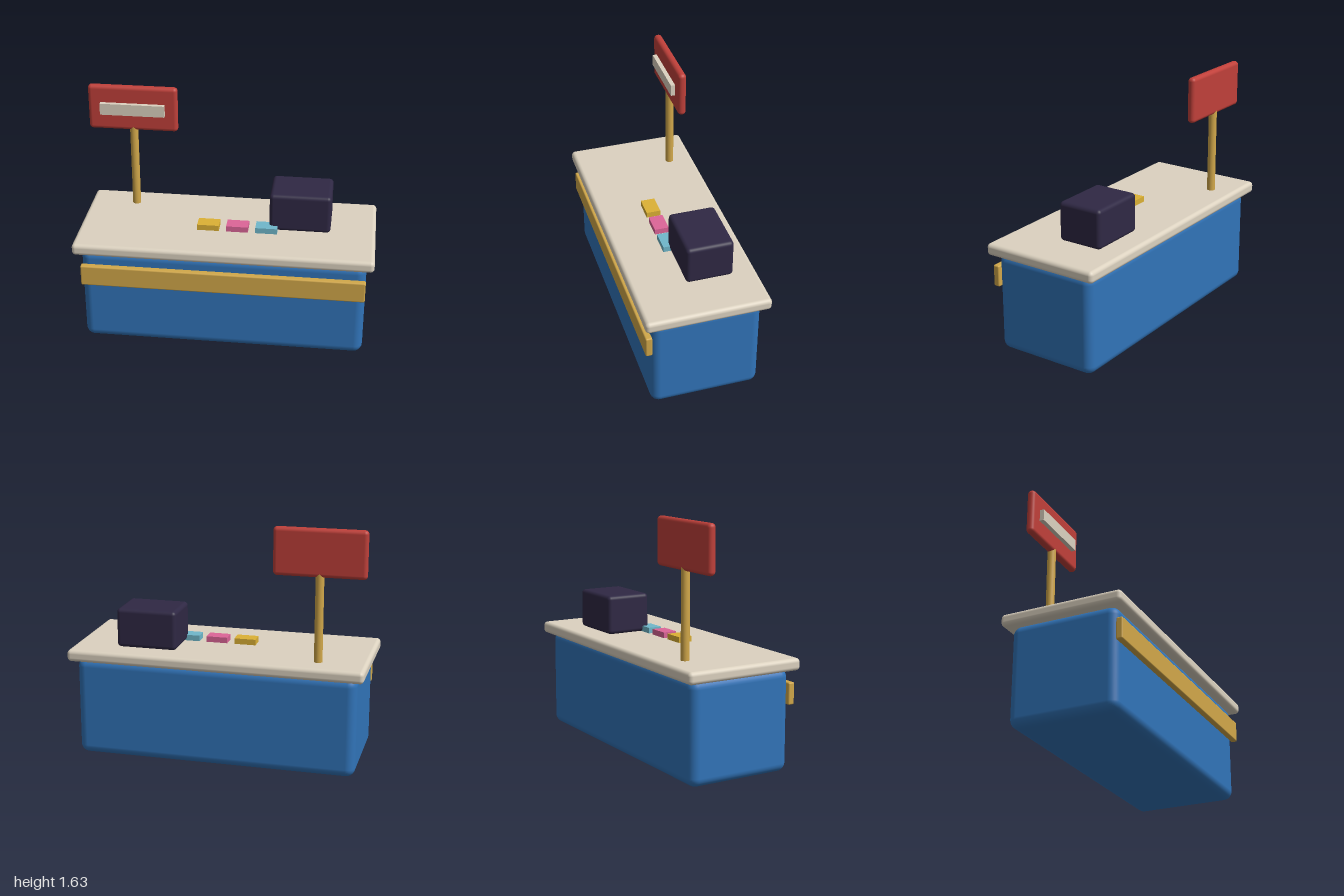
import * as THREE from 'three';
import { RoundedBoxGeometry } from 'three/addons/geometries/RoundedBoxGeometry.js';

const paint = (color) => new THREE.MeshStandardMaterial({ color });

export function createModel() {
  const model = new THREE.Group();
  const cream = paint(0xdcd2c0), gold = paint(0xd2a84a);

  const add = (name, geometry, material, x, y, z) => {
    const mesh = new THREE.Mesh(geometry, material);
    mesh.name = name;
    mesh.position.set(x, y, z);
    model.add(mesh);
  };
  // Box given by its min and max corners, with an optional edge radius
  const box = (name, material, [x0, y0, z0], [x1, y1, z1], radius = 0) => {
    const size = [x1 - x0, y1 - y0, z1 - z0];
    const geometry = radius
      ? new RoundedBoxGeometry(...size, 4, radius)
      : new THREE.BoxGeometry(...size);
    add(name, geometry, material, (x0 + x1) / 2, (y0 + y1) / 2, (z0 + z1) / 2);
  };

  // Counter: body, worktop and front trim
  box('counterBody', paint(0x3174b9), [-0.95, 0, -0.366], [0.95, 0.68, 0.366], 0.06);
  box('counterTop', cream, [-1, 0.667, -0.415], [1, 0.748, 0.415], 0.027);
  box('frontTrim', gold, [-0.95, 0.438, 0.36], [0.95, 0.584, 0.405], 0.01);

  // Till standing on the worktop
  box('till', paint(0x2f2844), [0.283, 0.748, -0.257], [0.696, 1.015, 0.06], 0.027);

  // Row of small goods
  [0xdcb135, 0xdd6598, 0x70b8cb].forEach((color, i) => {
    const x = -0.2 + i * 0.197;
    box('goods' + (i + 1), paint(color), [x, 0.742, 0.01], [x + 0.147, 0.787, 0.107]);
  });

  // Sign on a post
  add('signPost', new THREE.CylinderGeometry(0.028, 0.028, 0.6, 24), gold, -0.678, 1.04, -0.245);
  box('signBoard', paint(0xc0403a), [-0.983, 1.311, -0.273], [-0.373, 1.628, -0.217], 0.026);
  box('signPanel', cream, [-0.898, 1.43, -0.24], [-0.458, 1.51, -0.187]);

  return model;
}
